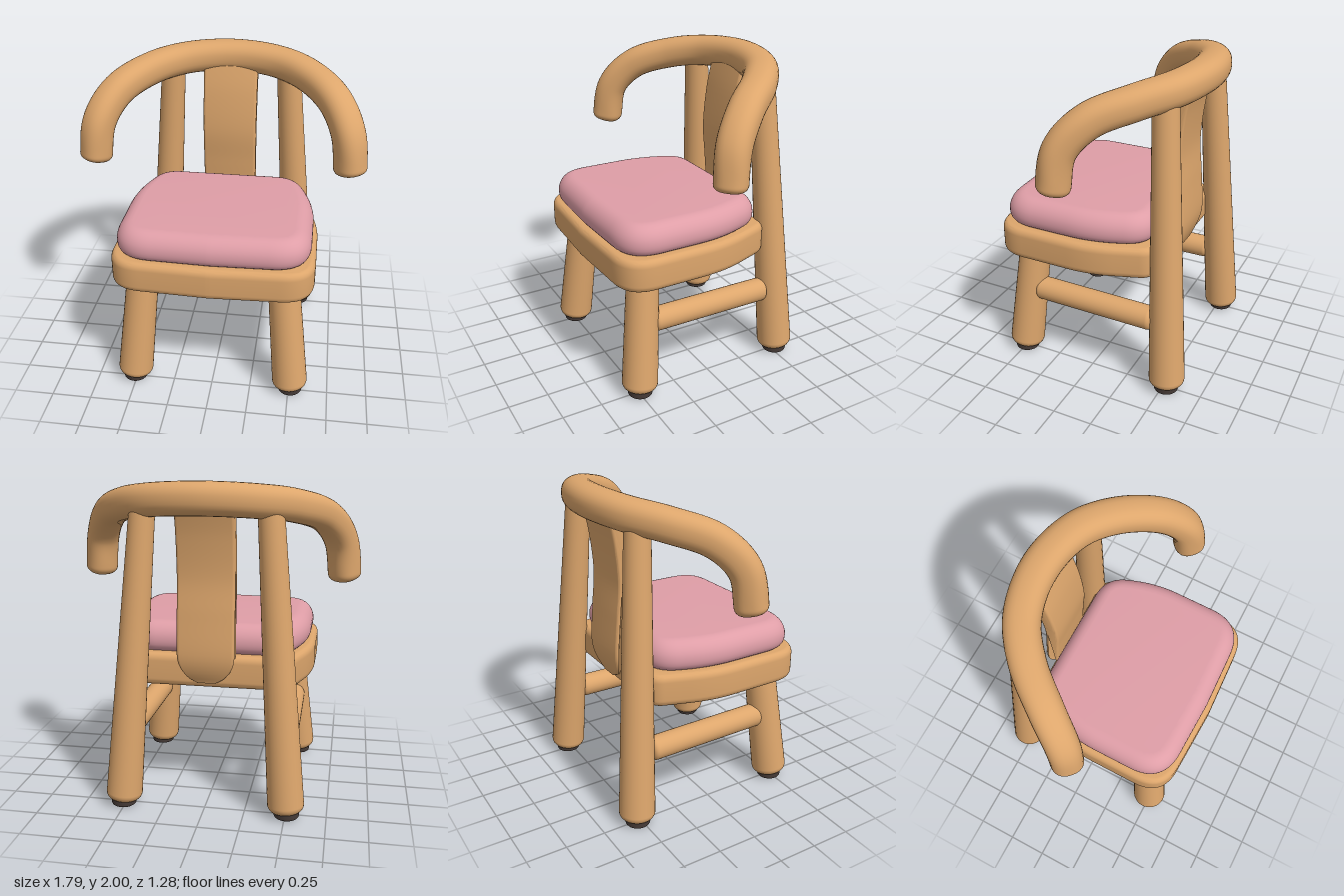
import * as THREE from 'three';
import { toCreasedNormals } from 'three/addons/utils/BufferGeometryUtils.js';

const V = (x, y, z) => new THREE.Vector3(x, y, z);
const mat = (name, color) => new THREE.MeshStandardMaterial({ name, color });

// Symmetric seat outline, given the +x corners [x, z, cornerSize] from front to back
function seatShape(half) {
  const mirrored = half.map(([x, z, d]) => [-x, z, d]).reverse();
  const pts = [...half, ...mirrored].map(([x, z, d]) => ({ p: new THREE.Vector2(x, -z), d }));
  const shape = new THREE.Shape();
  pts.forEach(({ p, d }, i) => {
    const prev = pts[(i + pts.length - 1) % pts.length].p;
    const next = pts[(i + 1) % pts.length].p;
    const a = p.clone().add(prev.clone().sub(p).setLength(d));
    const b = p.clone().add(next.clone().sub(p).setLength(d));
    if (i === 0) shape.moveTo(a.x, a.y); else shape.lineTo(a.x, a.y);
    shape.quadraticCurveTo(p.x, p.y, b.x, b.y);
  });
  shape.closePath();
  return shape;
}

// Horizontal slab from y0 to y1 with rounded rims; sag above 1 lowers its widest level
function slab(shape, y0, y1, bevelThickness, bevelSize, sag) {
  const h = y1 - y0;
  const geo = new THREE.ExtrudeGeometry(shape, {
    depth: h - 2 * bevelThickness, bevelThickness, bevelSize,
    bevelOffset: -bevelSize, bevelSegments: 8, curveSegments: 14,
  });
  geo.rotateX(-Math.PI / 2).translate(0, bevelThickness, 0);
  const pos = geo.attributes.position;
  for (let i = 0; i < pos.count; i++) {
    const t = THREE.MathUtils.clamp(pos.getY(i) / h, 0, 1);
    pos.setY(i, y0 + h * Math.pow(t, sag));
  }
  return toCreasedNormals(geo, 0.8);
}

// Tapered round bar from a to b with softened ends
function limb(a, b, ra, rb, soft = 0.05) {
  const dir = b.clone().sub(a), L = dir.length(), pts = [new THREE.Vector2(0, 0)];
  for (let i = 0; i <= 6; i++) {
    const t = (i / 6) * Math.PI / 2;
    pts.push(new THREE.Vector2(ra - soft + soft * Math.sin(t), soft - soft * Math.cos(t)));
  }
  for (let i = 0; i <= 6; i++) {
    const t = (i / 6) * Math.PI / 2;
    pts.push(new THREE.Vector2(rb - soft + soft * Math.cos(t), L - soft + soft * Math.sin(t)));
  }
  pts.push(new THREE.Vector2(0, L));
  const geo = new THREE.LatheGeometry(pts, 32);
  geo.applyQuaternion(new THREE.Quaternion().setFromUnitVectors(V(0, 1, 0), dir.normalize()));
  return geo.translate(a.x, a.y, a.z);
}

// Oval sweep along the bent rail, with rounded tips
function railGeometry() {
  const half = [[0.3, 1.885, -0.45], [0.51, 1.848, -0.3], [0.675, 1.765, -0.1],
    [0.765, 1.61, 0.028], [0.797, 1.36, 0.065]];
  const curve = new THREE.CatmullRomCurve3([
    ...half.map(([x, y, z]) => V(-x, y, z)).reverse(),
    V(0, 1.9, -0.51), ...half.map(([x, y, z]) => V(x, y, z))]);
  const N = 120, M = 32, pos = [], idx = [], len = curve.getLength();
  const soften = (v) => Math.sign(v) * Math.pow(Math.abs(v), 0.85);
  for (let i = 0; i <= N; i++) {
    // Rings crowd together toward the tips
    const u = 0.5 - 0.5 * Math.cos(Math.PI * i / N);
    const c = curve.getPointAt(u), t = curve.getTangentAt(u);
    const side = V(0, 1, 0).cross(t).normalize(), up = t.clone().cross(side);
    const e = Math.max(0, 1 - Math.min(u, 1 - u) * len / 0.045);
    const tip = i === 0 || i === N ? 0 : 0.5 + 0.5 * Math.sqrt(1 - e * e);
    const w = Math.abs(2 * u - 1);
    const rs = (0.108 - 0.01 * w) * tip, ru = 0.098 * tip;
    for (let j = 0; j < M; j++) {
      const a = j / M * Math.PI * 2;
      const p = c.clone().addScaledVector(side, soften(Math.cos(a)) * rs)
        .addScaledVector(up, soften(Math.sin(a)) * ru);
      pos.push(p.x, p.y, p.z);
      if (i < N) {
        const k = i * M + j, n = i * M + (j + 1) % M;
        idx.push(k, n, k + M, n, n + M, k + M);
      }
    }
  }
  const geo = new THREE.BufferGeometry();
  geo.setAttribute('position', new THREE.Float32BufferAttribute(pos, 3));
  geo.setIndex(idx);
  geo.computeVertexNormals();
  return geo;
}

// Curved back board, drawn as a side profile and extruded across x
function splatGeometry() {
  const mid = new THREE.SplineCurve([[-0.39, 0.8], [-0.425, 0.95], [-0.41, 1.2], [-0.392, 1.43],
    [-0.415, 1.68], [-0.46, 1.88]].map(([z, y]) => new THREE.Vector2(z, y)));
  const front = [], back = [], steps = 36, h = 0.044;
  for (let i = 0; i <= steps; i++) {
    const p = mid.getPoint(i / steps), t = mid.getTangent(i / steps);
    front.push(new THREE.Vector2(p.x + t.y * h, p.y - t.x * h));
    back.unshift(new THREE.Vector2(p.x - t.y * h, p.y + t.x * h));
  }
  const bevel = 0.018;
  const geo = new THREE.ExtrudeGeometry(new THREE.Shape([...front, ...back]), {
    depth: 0.35 - 2 * bevel, bevelThickness: bevel, bevelSize: bevel, bevelOffset: -bevel, bevelSegments: 4,
  });
  geo.translate(0, 0, -0.175 + bevel).rotateY(-Math.PI / 2);
  // Round the lower end into a tongue
  const pos = geo.attributes.position;
  for (let i = 0; i < pos.count; i++) {
    const d = THREE.MathUtils.clamp((0.97 - pos.getY(i)) / 0.19, 0, 0.98);
    pos.setX(i, pos.getX(i) * Math.sqrt(1 - d * d));
  }
  return toCreasedNormals(geo, 0.6);
}

export function createModel() {
  const model = new THREE.Group();
  model.name = 'chair';
  const wood = mat('warm wood', 0xdda66c);
  const pink = mat('pink fabric', 0xdf9ea7);
  const dark = mat('dark rubber', 0x453a36);
  const add = (name, geo, material) => {
    const mesh = new THREE.Mesh(geo, material);
    mesh.name = name;
    model.add(mesh);
  };

  // Seat and cushion
  add('seatFrame', slab(seatShape([[0, 0.642, 0.4], [0.625, 0.615, 0.2], [0.625, -0.05, 0.15], [0.5, -0.412, 0.08]]),
    0.752, 0.955, 0.045, 0.035, 1), wood);
  add('seatCushion', slab(seatShape([[0, 0.612, 0.35], [0.594, 0.592, 0.23], [0.594, -0.05, 0.16], [0.475, -0.375, 0.15]]),
    0.945, 1.137, 0.09, 0.1, 1.3), pink);

  // Legs, feet and side stretchers, mirrored
  for (const [s, side] of [[1, 'left'], [-1, 'right']]) {
    add(side + 'FrontLeg', limb(V(s * 0.51, 0.035, 0.495), V(s * 0.437, 0.8, 0.425), 0.112, 0.099), wood);
    add(side + 'BackPost', limb(V(s * 0.508, 0.035, -0.528), V(s * 0.372, 1.88, -0.418), 0.112, 0.077), wood);
    add(side + 'Stretcher', limb(V(s * 0.475, 0.475, 0.39), V(s * 0.485, 0.475, -0.42), 0.075, 0.075, 0.03), wood);
    add(side + 'FrontFoot', limb(V(s * 0.51, 0, 0.492), V(s * 0.51, 0.06, 0.492), 0.077, 0.077, 0.015), dark);
    add(side + 'BackFoot', limb(V(s * 0.51, 0, -0.525), V(s * 0.51, 0.06, -0.525), 0.077, 0.077, 0.015), dark);
  }

  // Back board and bent arm rail
  add('backSplat', splatGeometry(), wood);
  add('armRail', railGeometry(), wood);
  return model;
}
